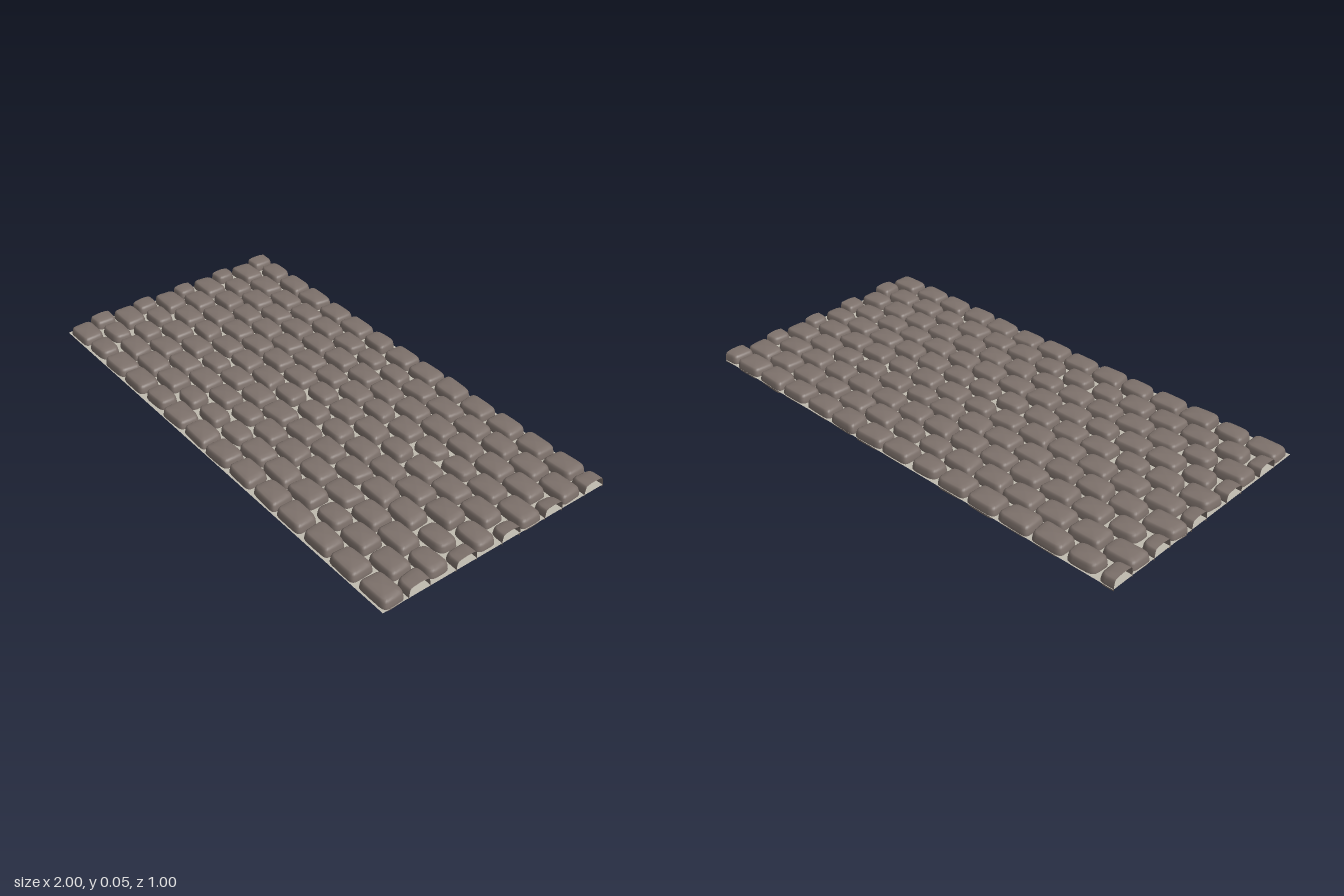
import * as THREE from 'three';

const ROWS = 10, COLS = 14, PITCH = 2 / COLS, SEG = 28;
const MORTAR_Y = 0.012;

// stone profile from the rim to the crown: [outline scale, height]
const PROFILE = [
  [1.02, 0.003], [1.05, 0.012], [1.03, 0.022], [1.0, 0.033],
  [0.95, 0.041], [0.86, 0.0455], [0.6, 0.048], [0.3, 0.0495], [0.02, 0.05],
];

// repeatable value in -1..1 for a stone and a trait
function jitter(row, col, trait) {
  const s = Math.sin(row * 127.1 + col * 311.7 + trait * 74.7) * 43758.5453;
  return (s - Math.floor(s)) * 2 - 1;
}

const spow = (v, p) => Math.sign(v) * Math.pow(Math.abs(v), p);

// adds one hollow, rounded stone, cut open where it meets the ends of the slab
function addStone(pos, idx, row, col, cx, cz) {
  const j = (t) => jitter(row, col % COLS, t);
  const worn = j(0) > 0.6;
  const power = worn ? 0.48 : 0.34;
  const hw = (worn ? 0.058 : 0.063) + j(1) * 0.002;
  const hd = (worn ? 0.040 : 0.0435) + j(2) * 0.001;
  const x0 = cx + j(3) * 0.003, z0 = cz + j(4) * 0.002;
  const skew = j(5) * 0.06, tiltX = j(6) * 0.03, tiltZ = j(7) * 0.03;
  const lift = j(8) * 0.002, taper = j(9) * 0.06;
  const start = pos.length / 3;

  PROFILE.forEach(([s, h]) => {
    for (let i = 0; i < SEG; i++) {
      const a = (i / SEG) * Math.PI * 2;
      const wobble = 1 + 0.015 * Math.sin(a * 3 + j(10) * 3);
      const u = spow(Math.cos(a), power) * s * wobble;
      const v = spow(Math.sin(a), power) * s * wobble;
      const dx = u * hw * (1 + v * taper) + v * hd * skew;
      const dz = v * hd * (1 + u * taper) + u * hw * skew * 0.4;
      const y = Math.max(0, h + lift + dx * tiltX + dz * tiltZ);
      pos.push(
        THREE.MathUtils.clamp(x0 + dx, -1, 1), y,
        THREE.MathUtils.clamp(z0 + dz, -0.5, 0.5));
    }
  });

  // leave out faces that lie wholly on a cut end
  const face = (a, b, c) => {
    if ([a, b, c].every((k) => Math.abs(pos[k * 3]) >= 1)) return;
    idx.push(a, b, c);
  };
  const last = PROFILE.length - 1;
  for (let r = 0; r < last; r++) {
    for (let i = 0; i < SEG; i++) {
      const n = (i + 1) % SEG;
      const a = start + r * SEG + i, b = start + r * SEG + n;
      face(a, a + SEG, b);
      face(b, a + SEG, b + SEG);
    }
  }
  // crown
  const top = start + last * SEG;
  for (let i = 1; i < SEG - 1; i++) face(top, top + i + 1, top + i);
}

export function createModel() {
  const stone = new THREE.MeshStandardMaterial({ color: 0x7d716b, side: THREE.DoubleSide });
  stone.name = 'brown stone';
  const mortar = new THREE.MeshStandardMaterial({ color: 0xc0bbb0, side: THREE.DoubleSide });
  mortar.name = 'pale mortar';

  const model = new THREE.Group();
  model.name = 'cobblestonePaving';

  // mortar bed
  const bed = new THREE.Mesh(new THREE.PlaneGeometry(2, 1).rotateX(-Math.PI / 2), mortar);
  bed.name = 'mortarBed';
  bed.position.y = MORTAR_Y;
  model.add(bed);

  // courses of stones, every other one shifted by half a stone
  for (let row = 0; row < ROWS; row++) {
    const pos = [], idx = [];
    const z = -0.452 + row * 0.1;
    const cut = row % 2 === 0;
    const count = cut ? COLS + 1 : COLS;
    for (let col = 0; col < count; col++) {
      addStone(pos, idx, row, col, -1 + (cut ? col : col + 0.5) * PITCH, z);
    }
    const geo = new THREE.BufferGeometry();
    geo.setAttribute('position', new THREE.Float32BufferAttribute(pos, 3));
    geo.setIndex(idx);
    geo.computeVertexNormals();
    const course = new THREE.Mesh(geo, stone);
    course.name = 'stoneCourse' + (row + 1);
    model.add(course);
  }
  return model;
}
